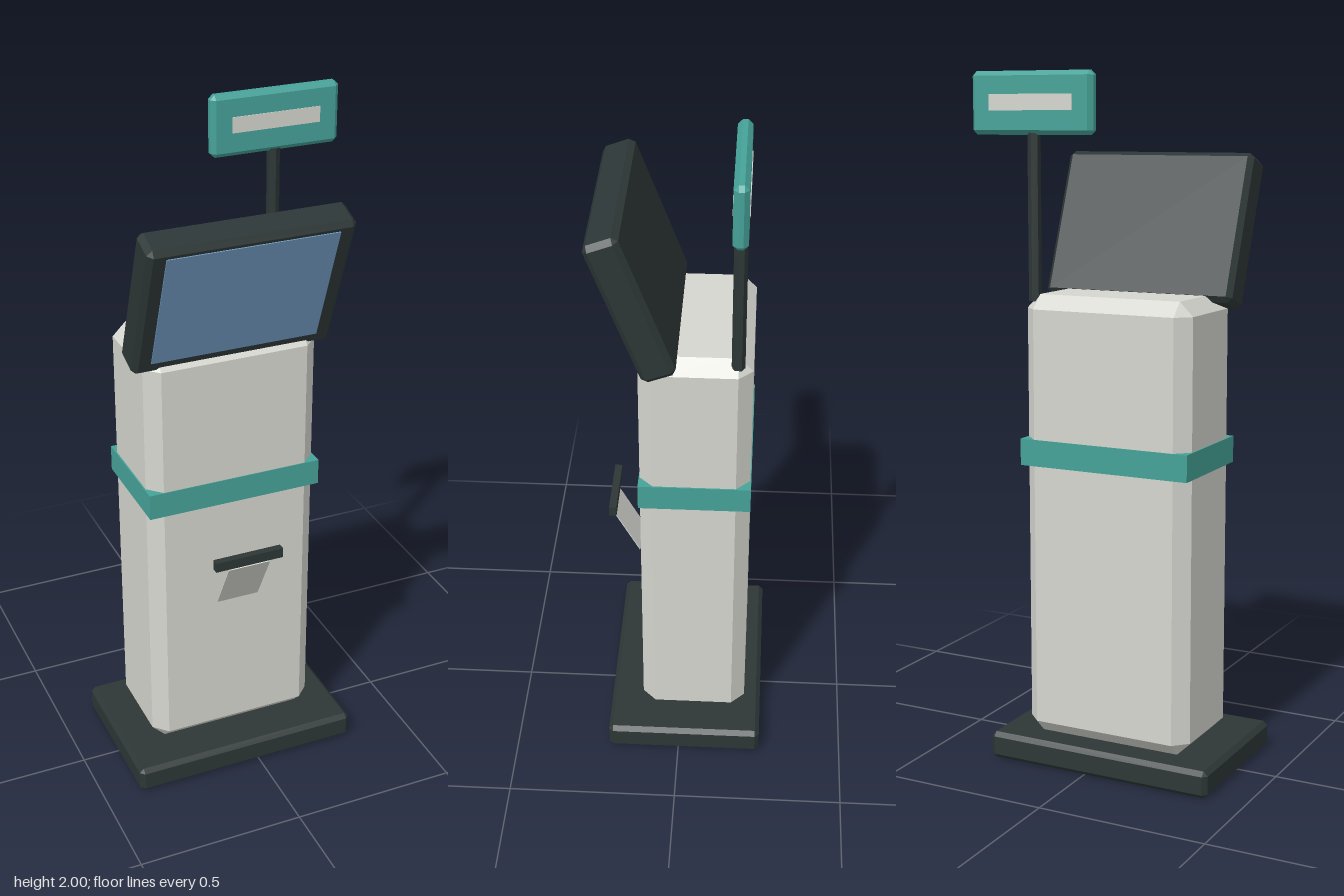
import * as THREE from 'three';
import { ConvexGeometry } from 'three/addons/geometries/ConvexGeometry.js';

const paint = (name, color) => {
  const m = new THREE.MeshStandardMaterial({ color });
  m.name = name;
  return m;
};

// Box with every edge bevelled by c, centred on the origin
function bevelBox(w, h, d, c) {
  const pts = [];
  for (const sx of [-1, 1]) for (const sy of [-1, 1]) for (const sz of [-1, 1]) {
    const x = w / 2, y = h / 2, z = d / 2;
    pts.push(
      new THREE.Vector3(sx * x, sy * (y - c), sz * (z - c)),
      new THREE.Vector3(sx * (x - c), sy * y, sz * (z - c)),
      new THREE.Vector3(sx * (x - c), sy * (y - c), sz * z)
    );
  }
  return new ConvexGeometry(pts);
}

export function createModel() {
  const model = new THREE.Group();
  model.name = 'kiosk';
  const dark = paint('charcoal', 0x2d3636);
  const pale = paint('pale grey', 0xd6d6d0);
  const teal = paint('teal', 0x45a298);
  const blue = paint('screen blue', 0x6e98be);

  const add = (name, geometry, material, x, y, z, parent = model) => {
    const mesh = new THREE.Mesh(geometry, material);
    mesh.name = name;
    mesh.position.set(x, y, z);
    parent.add(mesh);
    return mesh;
  };
  const cx = -0.04;

  // Foot plate, cabinet and the band around it
  add('base', bevelBox(0.7, 0.08, 0.465, 0.013), dark, cx, 0.04, -0.0175);
  add('cabinet', bevelBox(0.518, 1.3, 0.315, 0.04), pale, cx, 0.73, -0.0425);
  add('band', new THREE.BoxGeometry(0.526, 0.077, 0.32), teal, cx, 0.927, -0.0425);

  // Monitor leaning forward, with the display on its front face
  const monitor = new THREE.Group();
  monitor.name = 'monitor';
  monitor.position.set(cx, 1.555, 0.126);
  monitor.rotation.x = 0.36;
  model.add(monitor);
  add('monitorCase', bevelBox(0.592, 0.44, 0.1, 0.015), dark, 0, 0, 0, monitor);
  add('display', new THREE.BoxGeometry(0.492, 0.372, 0.006), blue, 0, 0.01, 0.05, monitor);

  // Ticket slot and the slip hanging below it
  add('ticketSlot', new THREE.BoxGeometry(0.21, 0.03, 0.022), dark, cx + 0.001, 0.745, 0.207);
  const slip = add('ticket', new THREE.BoxGeometry(0.13, 0.182, 0.003), pale, cx, 0.647, 0.174);
  slip.rotation.x = 0.49;

  // Six-sided pole carrying a sign with a label strip on both faces
  const poleGeo = new THREE.CylinderGeometry(0.0185, 0.0185, 0.47, 6).toNonIndexed();
  poleGeo.computeVertexNormals();
  add('signPole', poleGeo, dark, 0.194, 1.595, -0.159);
  add('sign', bevelBox(0.386, 0.176, 0.04, 0.013), teal, 0.194, 1.912, -0.16);
  for (const s of [-1, 1])
    add(s > 0 ? 'signLabelFront' : 'signLabelBack',
      new THREE.BoxGeometry(0.265, 0.045, 0.004), pale, 0.194, 1.914, -0.16 + s * 0.02);

  return model;
}
